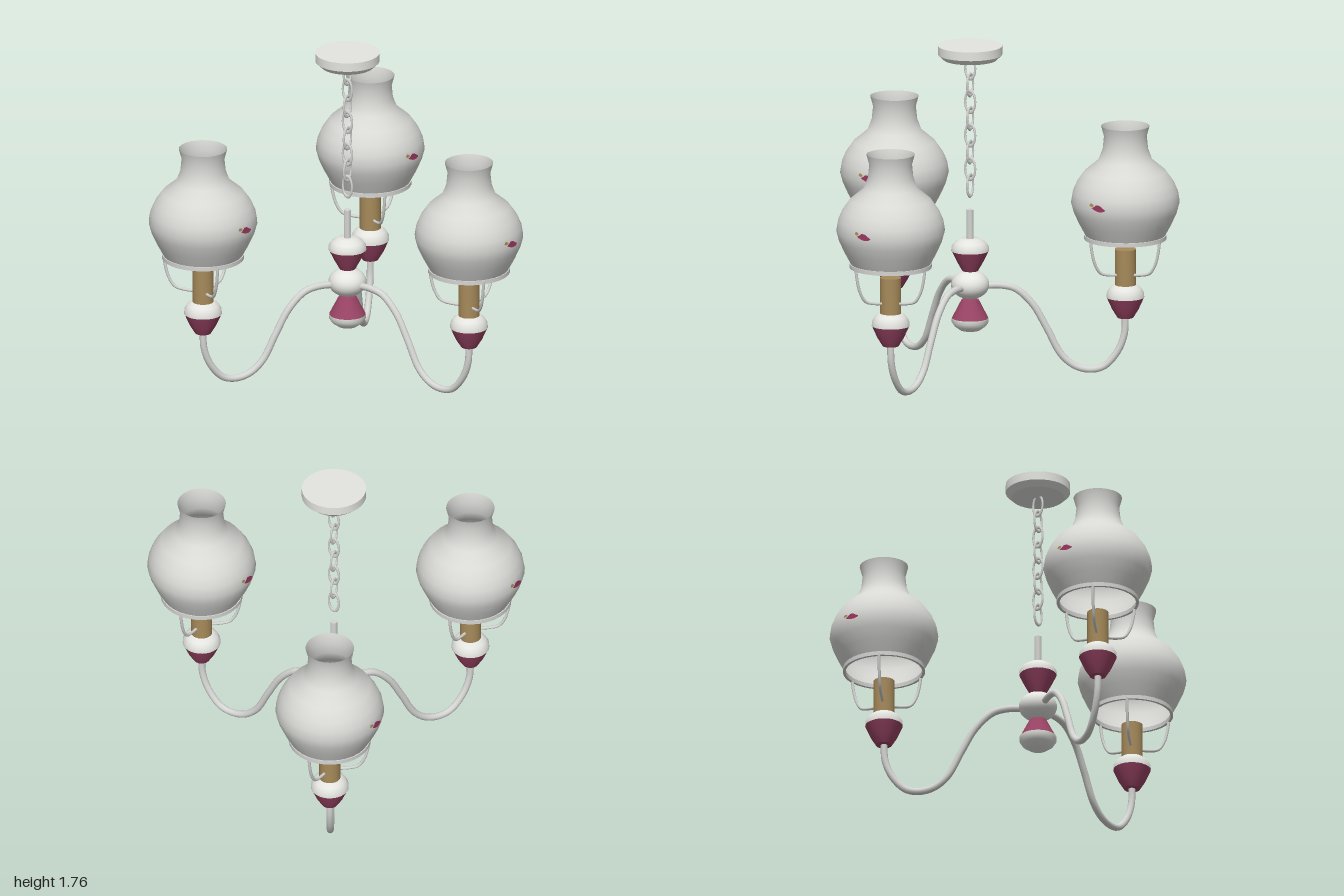
import * as THREE from 'three';
import { toCreasedNormals } from 'three/addons/utils/BufferGeometryUtils.js';

const mat = (name, color, side = THREE.FrontSide) => {
  const m = new THREE.MeshStandardMaterial({ color, side });
  m.name = name;
  return m;
};
const V2 = (p) => p.map(([x, y]) => new THREE.Vector2(x, y));

// Outer profile of the glass shade: radius, height
const SHADE = [[0.21, 0.755], [0.245, 0.82], [0.272, 0.88], [0.287, 0.935], [0.278, 0.99],
  [0.257, 1.04], [0.215, 1.1], [0.143, 1.16], [0.12, 1.22], [0.113, 1.29], [0.128, 1.345]];

function shadeRadius(y) {
  for (let i = 1; i < SHADE.length; i++) {
    const [r0, y0] = SHADE[i - 1], [r1, y1] = SHADE[i];
    if (y <= y1) return r0 + (r1 - r0) * (y - y0) / (y1 - y0);
  }
  return SHADE.at(-1)[0];
}

export function createModel() {
  const ceramic = mat('white ceramic', 0xe4e4e0);
  const glass = mat('shade glass', 0xd8d8d5, THREE.DoubleSide);
  const metal = mat('pale metal', 0xd4d4d2);
  const wine = mat('wine red', 0x9a4465);
  const tan = mat('candle tan', 0xa68a5a);
  const petal = mat('flower red', 0x94355a, THREE.DoubleSide);
  const leafMat = mat('leaf tan', 0xa68a4e, THREE.DoubleSide);

  const root = new THREE.Group();
  root.name = 'chandelier';
  const body = new THREE.Group();
  body.name = 'chandelierBody';
  body.position.z = -0.205;
  root.add(body);

  const add = (parent, name, geo, m) => {
    const mesh = new THREE.Mesh(geo, m);
    mesh.name = name;
    parent.add(mesh);
    return mesh;
  };
  const turned = (parent, name, pts, m, seg = 32) =>
    add(parent, name, toCreasedNormals(new THREE.LatheGeometry(V2(pts), seg), 0.7), m);
  const tube = (parent, name, pts, r, m, seg = 40, sides = 10) =>
    add(parent, name, new THREE.TubeGeometry(
      new THREE.CatmullRomCurve3(pts.map((p) => new THREE.Vector3(...p))), seg, r, sides), m);

  // Ceiling plate
  turned(body, 'ceilingPlate', [[0, 1.7], [0.14, 1.7], [0.17, 1.728], [0.17, 1.775], [0, 1.775]], ceramic);

  // Chain of alternating oval links
  for (let i = 0; i < 8; i++) {
    const link = add(body, 'chainLink', new THREE.TorusGeometry(0.031, 0.006, 8, 20), metal);
    link.scale.y = 1.85;
    link.position.y = 1.02 + i * 0.0905;
    link.rotation.y = i % 2 ? 0 : Math.PI / 2;
  }

  // Central column
  turned(body, 'stem', [[0, 0.72], [0.019, 0.72], [0.019, 0.89], [0, 0.89]], metal, 16);
  turned(body, 'upperCupTop', [[0.1, 0.668], [0.099, 0.69], [0.083, 0.713], [0.052, 0.733], [0, 0.735]], ceramic);
  turned(body, 'upperCupBase', [[0, 0.555], [0.042, 0.56], [0.07, 0.61], [0.098, 0.668]], wine);
  add(body, 'hub', new THREE.SphereGeometry(0.101, 32, 20), ceramic)
    .scale.y = 0.76;
  body.getObjectByName('hub').position.y = 0.485;
  turned(body, 'lowerCupBase', [[0.096, 0.305], [0.073, 0.35], [0.045, 0.405], [0, 0.415]], wine);
  turned(body, 'lowerCupBottom', [[0, 0.237], [0.052, 0.24], [0.083, 0.262], [0.098, 0.285], [0.098, 0.306]], ceramic);

  // Flower spray laid on the shade surface
  const decal = (parent, name, outline, m) => {
    const shape = new THREE.Shape();
    shape.setFromPoints(new THREE.SplineCurve(V2([...outline, outline[0]])).getPoints(28));
    const geo = new THREE.ShapeGeometry(shape);
    const p = geo.attributes.position;
    for (let i = 0; i < p.count; i++) {
      const x = p.getX(i);
      p.setZ(i, Math.sqrt(shadeRadius(p.getY(i)) ** 2 - x * x) + 0.004);
    }
    geo.computeVertexNormals();
    add(parent, name, geo, m);
  };

  const arm = [[0.08, 0.48], [0.16, 0.482], [0.24, 0.463], [0.33, 0.38], [0.405, 0.25], [0.48, 0.11],
    [0.555, 0.047], [0.635, 0.029], [0.705, 0.047], [0.775, 0.125], [0.812, 0.22], [0.818, 0.33]];

  for (let k = 0; k < 3; k++) {
    const a = k * Math.PI * 2 / 3;
    const sx = Math.sin(a), cz = Math.cos(a);
    tube(body, 'arm', arm.map(([u, y]) => [u * sx, y, u * cz]), 0.0185, metal, 64, 12);

    const lamp = new THREE.Group();
    lamp.name = 'lamp';
    lamp.position.set(0.818 * sx, 0, 0.818 * cz);
    body.add(lamp);

    // Candle and its cup
    turned(lamp, 'cupBase', [[0, 0.308], [0.042, 0.31], [0.07, 0.355], [0.099, 0.42]], wine);
    turned(lamp, 'cupTop', [[0.1, 0.42], [0.098, 0.445], [0.083, 0.47], [0.06, 0.487], [0, 0.487]], ceramic);
    turned(lamp, 'candle', [[0, 0.47], [0.056, 0.47], [0.056, 0.68], [0, 0.68]], tan);

    // Shade with its rim band
    add(lamp, 'shade', new THREE.LatheGeometry(V2(SHADE), 32), glass);
    turned(lamp, 'shadeRim', [[0.203, 0.735], [0.217, 0.735], [0.217, 0.757], [0.203, 0.757], [0.203, 0.735]], metal);

    // Three bent wires holding the shade
    for (let w = 0; w < 3; w++) {
      const b = w * Math.PI * 2 / 3;
      tube(lamp, 'shadeWire', [[0.21, 0.745], [0.203, 0.69], [0.183, 0.615], [0.15, 0.565], [0.1, 0.549], [0.045, 0.543]]
        .map(([r, y]) => [r * Math.cos(b), y, r * Math.sin(b)]), 0.008, metal, 20, 8);
    }

    // Painted flowers on the two opposite faces
    for (const turn of [0, Math.PI]) {
      const spray = new THREE.Group();
      spray.name = 'flowerSpray';
      spray.rotation.y = turn;
      lamp.add(spray);
      decal(spray, 'flower', [[-0.036, 0.95], [-0.012, 0.939], [0.012, 0.934], [0.034, 0.937], [0.046, 0.945],
        [0.03, 0.955], [0.012, 0.966], [-0.008, 0.968], [-0.02, 0.959]], petal);
      decal(spray, 'leaf', [[-0.053, 0.962], [-0.04, 0.957], [-0.026, 0.961], [-0.03, 0.97], [-0.045, 0.974]], leafMat);
    }
  }
  return root;
}
